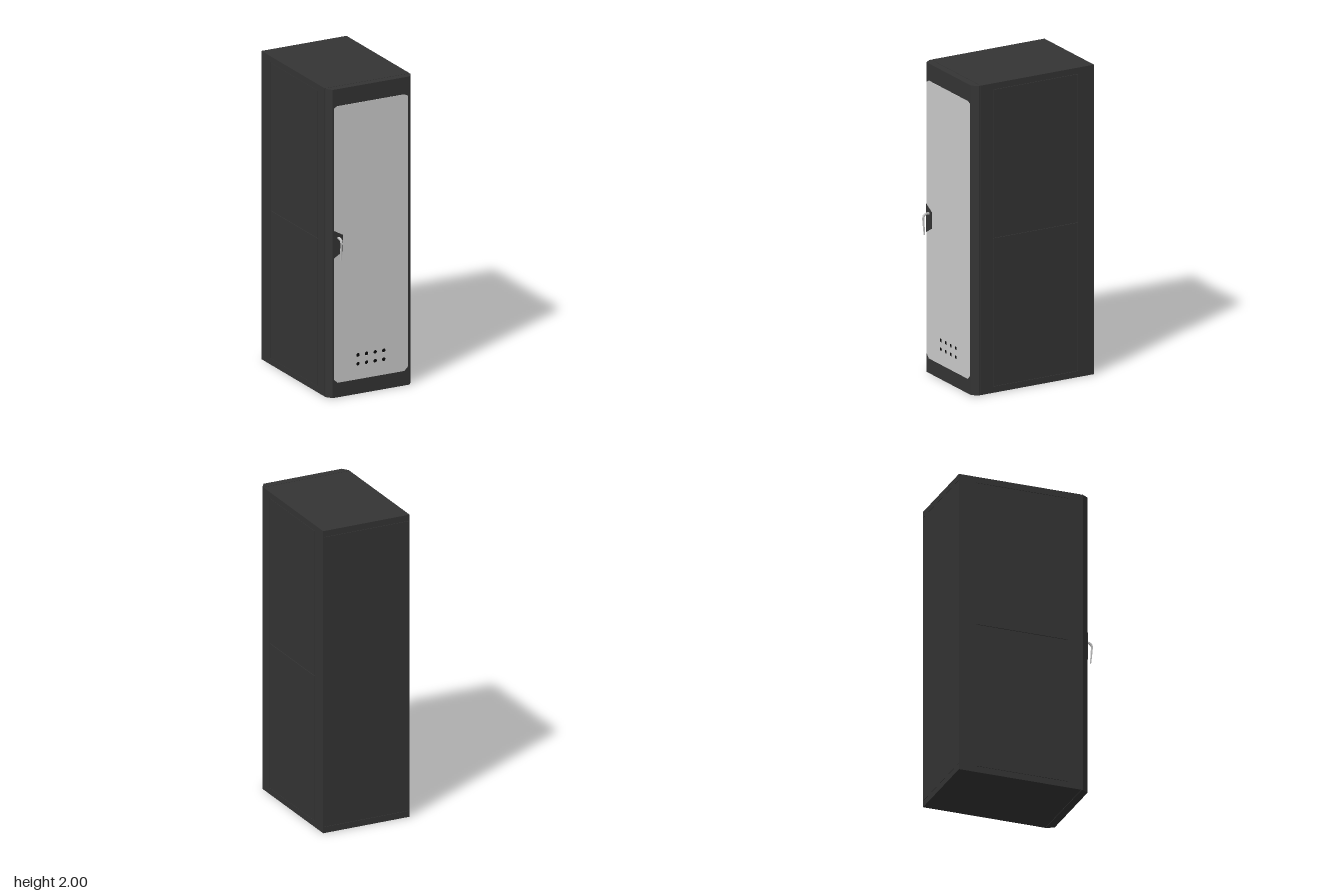
import * as THREE from 'three';

const material = (color) => new THREE.MeshStandardMaterial({ color });
const dark = material(0x343434);
const black = material(0x080808);
const grey = material(0xcccccc);

const outline = (points) => new THREE.Shape(points.map(([x, y]) => new THREE.Vector2(x, y)));
const extrude = (shape, depth) =>
  new THREE.ExtrudeGeometry(shape, { depth, bevelEnabled: false, curveSegments: 10 });

export function createModel() {
  const model = new THREE.Group();
  model.name = 'cabinet';

  function add(parent, name, geometry, mat, x = 0, y = 0, z = 0) {
    const mesh = new THREE.Mesh(geometry, mat);
    mesh.name = name;
    mesh.position.set(x, y, z);
    parent.add(mesh);
    return mesh;
  }
  // Box given by its minimum and maximum corners
  function box(parent, name, a, b, mat = dark) {
    const size = b.map((v, i) => v - a[i]);
    const mid = b.map((v, i) => (v + a[i]) / 2);
    return add(parent, name, new THREE.BoxGeometry(...size), mat, ...mid);
  }

  const W = 0.298, BACK = -0.455, FRONT = 0.353, SEAM = 0.002;

  // Inner core, visible only at the bottom of the panel seams
  box(model, 'core', [-W + 0.006, 0.01, BACK + 0.006], [W - 0.006, 1.99, FRONT - 0.002], dark);

  // Top and bottom caps and the back panel
  box(model, 'topCap', [-W, 1.96, BACK], [W, 2, FRONT]);
  box(model, 'bottomCap', [-W, 0, BACK], [W, 0.04, FRONT]);
  box(model, 'backPanel', [-W, 0.04 + SEAM, BACK], [W, 1.96 - SEAM, BACK + 0.008]);

  // Side posts and paired side panels, divided by narrow seams
  for (const [side, s] of [['left', 1], ['right', -1]]) {
    const group = new THREE.Group();
    group.name = side + 'Side';
    model.add(group);
    const x0 = s > 0 ? W - 0.008 : -W;
    const slab = (name, y0, y1, z0, z1) => box(group, name, [x0, y0, z0], [x0 + 0.008, y1, z1]);
    slab('rearPost', 0.04, 1.96, BACK, -0.34 - SEAM);
    slab('frontPost', 0.04, 1.96, 0.265 + SEAM, FRONT);
    slab('lowerPanel', 0.04 + SEAM, 1 - SEAM, -0.34 + SEAM, 0.265 - SEAM);
    slab('upperPanel', 1 + SEAM, 1.96 - SEAM, -0.34 + SEAM, 0.265 - SEAM);
  }

  // Door, standing a hair in front of the body on a narrower seal
  const door = new THREE.Group();
  door.name = 'door';
  model.add(door);
  box(door, 'doorSeal', [-0.245, 0.02, FRONT - 0.004], [0.245, 1.98, 0.358], black);

  // Frame: plan outline with chamfered front corners, raised to full height
  const plan = outline([[-W, -0.356], [-W, -0.365], [-0.27, -0.405], [0.268, -0.405], [W, -0.365], [W, -0.356]]);
  add(door, 'doorFrame', extrude(plan, 2).rotateX(-Math.PI / 2), dark);

  // Door panel with clipped corners and two rows of vent holes
  const x0 = -0.262, x1 = 0.256, y0 = 0.095, y1 = 1.89, c = 0.025;
  const panel = outline([
    [x0 + c, y0], [x1 - c, y0], [x1, y0 + c], [x1, y1 - c / 2],
    [x1 - c, y1], [x0 + c, y1], [x0, y1 - c / 2], [x0, y0 + c],
  ]);
  for (const vx of [-0.093, -0.033, 0.027, 0.087]) {
    for (const vy of [0.195, 0.252]) {
      panel.holes.push(new THREE.Path().absarc(vx, vy, 0.012, 0, Math.PI * 2, true));
    }
  }
  add(door, 'doorPanel', extrude(panel, 0.002), grey, 0, 0, 0.405);
  box(door, 'ventBacking', [-0.12, 0.17, 0.404], [0.114, 0.28, 0.4056], black);

  // Latch plate and bent lever handle
  const plate = outline([[-0.266, 0.905], [-0.2, 0.943], [-0.2, 1.05], [-0.266, 1.087]]);
  add(door, 'latchPlate', extrude(plate, 0.003), dark, 0, 0, 0.406);
  const lever = outline([
    [0.4, 1.028], [0.4, 1.04], [0.43, 1.041], [0.449, 1.03], [0.455, 1.012],
    [0.444, 0.9], [0.439, 0.902], [0.446, 1.01], [0.441, 1.022], [0.428, 1.031],
  ]);
  // Side profile swept across x
  add(door, 'leverHandle', extrude(lever, 0.012).rotateY(-Math.PI / 2).scale(1, 1, 1), grey, -0.226, 0, 0);

  return model;
}
